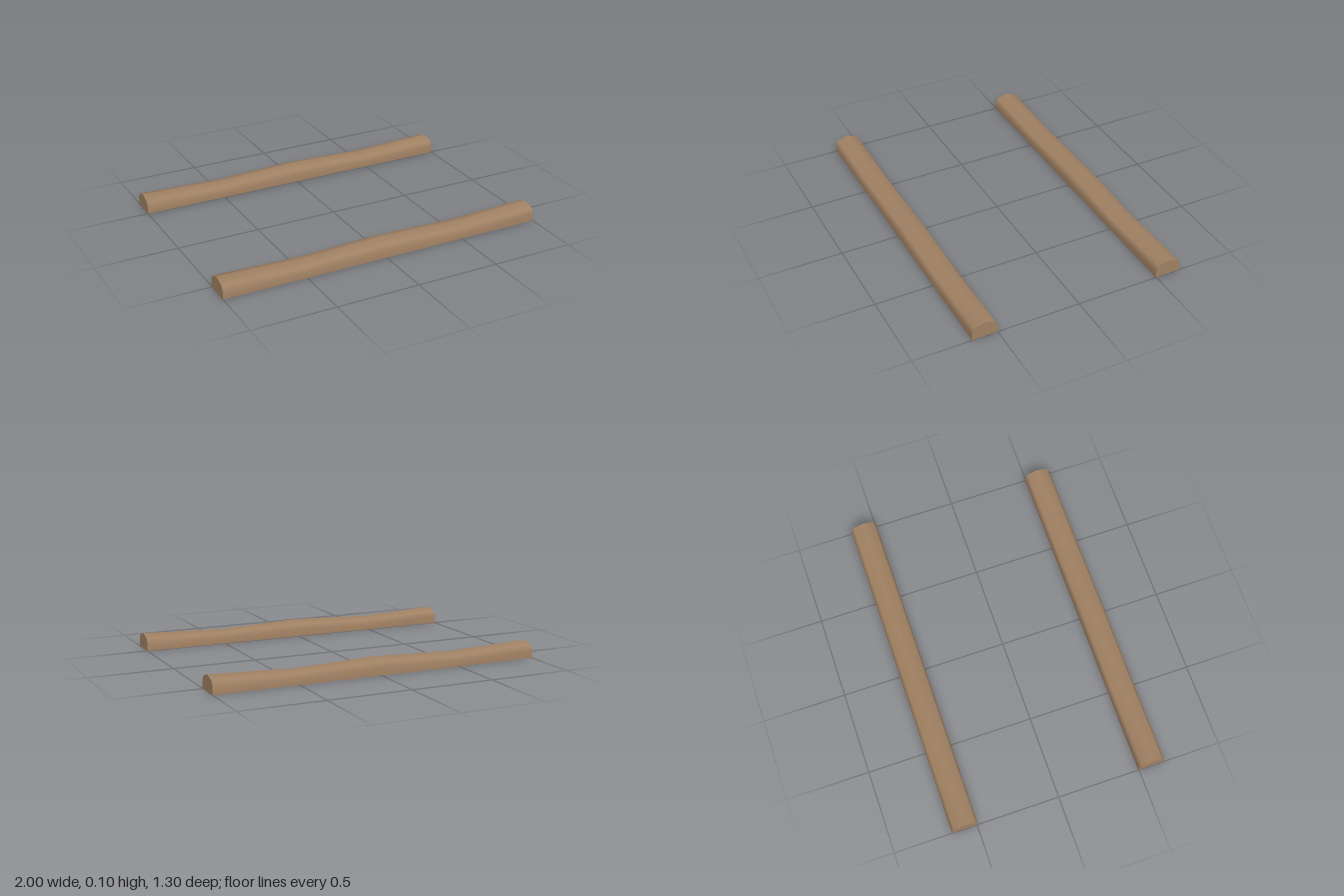
import * as THREE from 'three';

// Half-log cross-section as [z, y], from back foot over the ridge to front foot
const PROFILE = [
  [-0.078, 0], [-0.078, 0.046], [-0.063, 0.076], [0, 0.096],
  [0.063, 0.076], [0.078, 0.046], [0.078, 0],
];
// Height factor at each station along x: the top rises and dips
const HEIGHTS = [1, 0.8, 1, 0.8, 1];

export function createModel() {
  const wood = new THREE.MeshStandardMaterial({ color: 0x9f8062 });
  wood.name = 'brown wood';

  // Smooth wavy skin: a plane bent over the cross-section
  const skin = new THREE.PlaneGeometry(2, 1, HEIGHTS.length - 1, PROFILE.length - 1);
  const pos = skin.attributes.position;
  for (let i = 0; i < pos.count; i++) {
    const station = i % HEIGHTS.length;
    const [z, y] = PROFILE[Math.floor(i / HEIGHTS.length)];
    pos.setXYZ(i, -1 + station * 0.5, y * HEIGHTS[station], z);
  }
  skin.computeVertexNormals();

  // Flat underside and cut ends
  const underside = new THREE.PlaneGeometry(2, 0.156).rotateX(Math.PI / 2);
  const end = new THREE.ShapeGeometry(
    new THREE.Shape(PROFILE.map(([z, y]) => new THREE.Vector2(z, y))));

  const model = new THREE.Group();
  model.name = 'halfLogs';
  const add = (parent, name, geometry) => {
    const mesh = new THREE.Mesh(geometry, wood);
    mesh.name = name;
    parent.add(mesh);
    return mesh;
  };

  for (const side of [1, -1]) {
    const log = new THREE.Group();
    log.name = side > 0 ? 'frontLog' : 'backLog';
    log.position.z = side * 0.574;
    add(log, 'logTop', skin);
    add(log, 'logUnderside', underside);
    for (const s of [1, -1]) {
      const cap = add(log, s > 0 ? 'leftEnd' : 'rightEnd', end);
      cap.rotation.y = s * Math.PI / 2;
      cap.position.x = s;
    }
    model.add(log);
  }
  return model;
}
